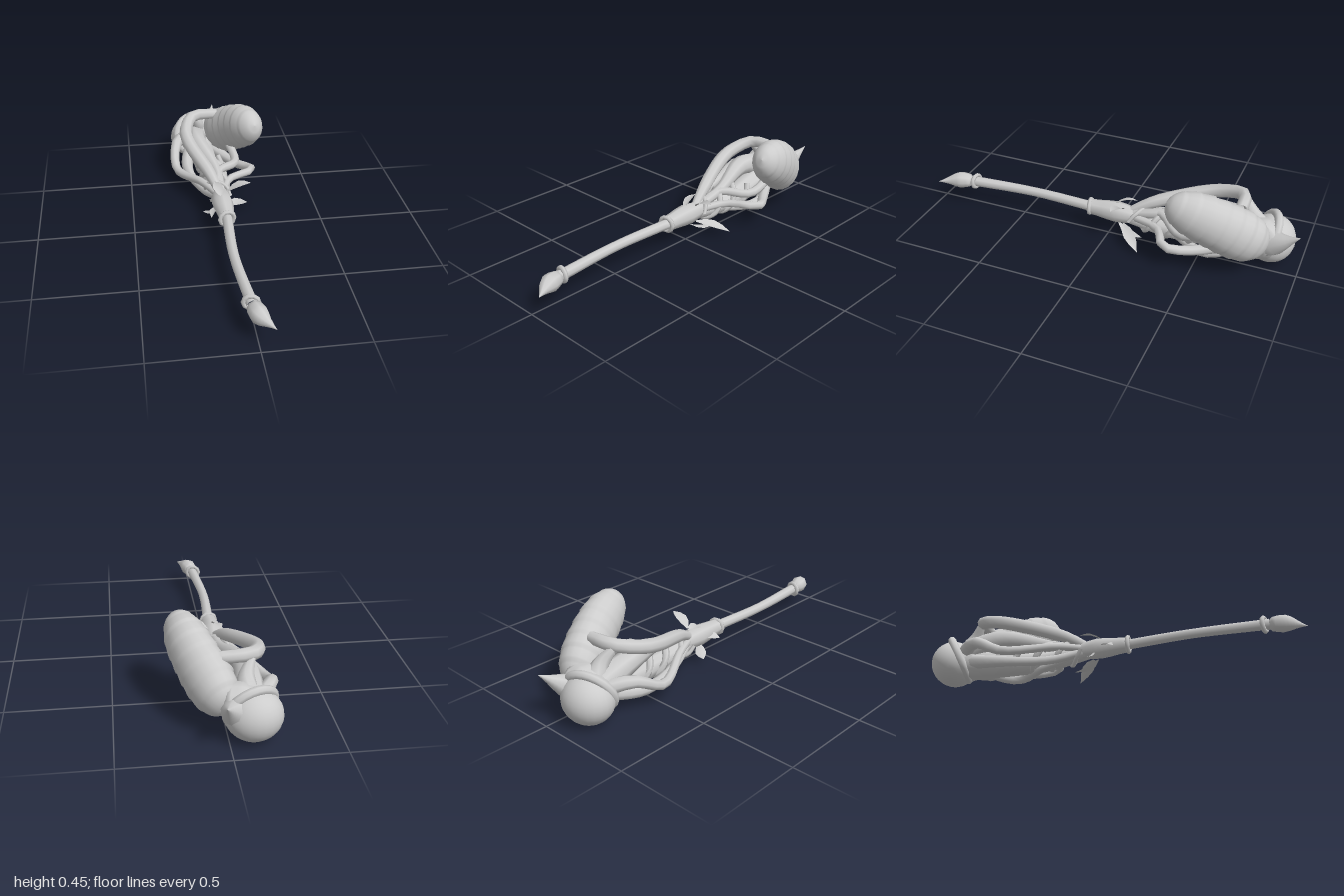
import * as THREE from 'three';

const stone = new THREE.MeshStandardMaterial({ color: 0xcccccc });
stone.name = 'plain grey';
const leafGrey = new THREE.MeshStandardMaterial({ color: 0xcccccc, side: THREE.DoubleSide });
leafGrey.name = 'leaf grey';

const vec = (p) => new THREE.Vector3(...p);
const UP = new THREE.Vector3(0, 1, 0);

// Radius at t, from evenly spaced values
function sample(list, t) {
  const f = t * (list.length - 1);
  const i = Math.min(Math.floor(f), list.length - 2);
  return THREE.MathUtils.lerp(list[i], list[i + 1], f - i);
}

function meshGeometry(points, index) {
  const g = new THREE.BufferGeometry().setFromPoints(points);
  g.setIndex(index);
  g.computeVertexNormals();
  return g;
}

// Sweeps a ring of the given radius along a curve; tall stretches it upward
function sweep(points, radius, { rings = 16, sides = 8, tall = 1 } = {}) {
  const curve = new THREE.CatmullRomCurve3(points.map(vec));
  const verts = [], index = [];
  for (let i = 0; i <= rings; i++) {
    const t = i / rings;
    const c = curve.getPointAt(t);
    const dir = curve.getTangentAt(t);
    const side = dir.clone().cross(UP).normalize();
    const up = side.clone().cross(dir);
    const r = Math.max(radius(t), 0.0005);
    for (let j = 0; j < sides; j++) {
      const a = (j / sides) * Math.PI * 2;
      verts.push(c.clone().addScaledVector(side, Math.cos(a) * r).addScaledVector(up, Math.sin(a) * r * tall));
      if (i < rings) {
        const p = i * sides + j, q = i * sides + (j + 1) % sides;
        index.push(p, p + sides, q, q, p + sides, q + sides);
      }
    }
  }
  return meshGeometry(verts, index);
}

// Pointed leaf, arched and folded along its middle
function leafGeometry(base, tip, width, normal) {
  const a = vec(base), b = vec(tip), n = vec(normal).normalize();
  const across = b.clone().sub(a).cross(n).normalize();
  const verts = [], index = [];
  for (let i = 0; i <= 4; i++) {
    const t = i / 4;
    const w = Math.sin(Math.PI * (0.06 + 0.94 * t));
    for (const s of [-1, 0, 1]) {
      verts.push(a.clone().lerp(b, t).addScaledVector(across, s * w * width)
        .addScaledVector(n, 0.012 * Math.sin(t * Math.PI) + Math.abs(s) * w * 0.008));
    }
    if (i < 4) for (const k of [0, 1]) {
      const q = i * 3 + k;
      index.push(q, q + 3, q + 1, q + 1, q + 3, q + 4);
    }
  }
  return meshGeometry(verts, index);
}

export function createModel() {
  const model = new THREE.Group();
  const add = (name, geometry, material = stone) => {
    const mesh = new THREE.Mesh(geometry, material);
    mesh.name = name;
    model.add(mesh);
    return mesh;
  };
  const tube = (name, points, radii, options) => add(name, sweep(points, (t) => sample(radii, t), options));

  // Bowed shaft, pommel and collars
  tube('shaft', [[-0.01, 0.125, 0.83], [-0.038, 0.125, 0.45], [-0.025, 0.125, 0.1]], [0.028, 0.025, 0.027]);
  tube('pommel', [[-0.012, 0.125, 0.81], [0.01, 0.125, 0.9], [0.067, 0.122, 1]],
    [0, 0.036, 0.043, 0.045, 0.036, 0.022, 0.01, 0], { rings: 14 });
  for (const [x, z, r, turn] of [[-0.014, 0.805, 0.034, -0.16], [-0.026, 0.115, 0.038, 0.16]]) {
    const collar = add('collar', new THREE.TorusGeometry(r, 0.012, 6, 10));
    collar.position.set(x, 0.125, z);
    collar.rotation.y = turn;
  }

  // Sleeve where the shaft meets the roots, then the thick trunk
  tube('sleeve', [[-0.025, 0.125, 0.115], [-0.03, 0.125, -0.05], [-0.03, 0.12, -0.25]],
    [0.04, 0.045, 0.052, 0.056, 0.05, 0.04, 0.03, 0], { rings: 14 });
  tube('trunk', [[-0.03, 0.115, -0.08], [-0.04, 0.09, -0.35], [-0.07, 0.105, -0.6], [-0.1, 0.13, -0.82]],
    [0.035, 0.048, 0.058, 0.075, 0.1], { sides: 10 });

  // Roots leave the sleeve, bow outward and join the head
  const sleeveEnd = [-0.025, 0.13, -0.08], headEnd = [-0.1, 0.14, -0.82];
  tube('upperRoot', [sleeveEnd, [-0.07, 0.2, -0.21], [-0.16, 0.27, -0.45], [-0.172, 0.3, -0.56], [-0.12, 0.335, -0.68], [0.02, 0.335, -0.7]],
    [0.02, 0.035, 0.037, 0.035, 0.03]);
  tube('rootFork', [[-0.12, 0.32, -0.69], [-0.09, 0.25, -0.74], headEnd], [0.02, 0.045, 0.07]);
  tube('outerRoot', [sleeveEnd, [-0.11, 0.135, -0.25], [-0.235, 0.1, -0.49], [-0.215, 0.18, -0.67], headEnd],
    [0.018, 0.022, 0.026, 0.045]);
  tube('sideRoot', [sleeveEnd, [0.04, 0.13, -0.28], [0.18, 0.13, -0.37], [0.1, 0.1, -0.52], headEnd],
    [0.02, 0.021, 0.028, 0.035]);
  tube('innerRoot', [sleeveEnd, [-0.03, 0.18, -0.3], [-0.11, 0.22, -0.58], headEnd], [0.02, 0.03, 0.055, 0.08]);
  tube('lowerRoot', [sleeveEnd, [-0.1, 0.07, -0.28], [-0.17, 0.075, -0.55], headEnd], [0.02, 0.026, 0.045]);
  tube('crossRoot', [sleeveEnd, [-0.02, 0.18, -0.28], [0.09, 0.16, -0.42], [0.07, 0.2, -0.62]], [0.015, 0.024, 0.025]);
  tube('bottomRoot', [sleeveEnd, [-0.07, 0.05, -0.32], [0.04, 0.05, -0.55], headEnd], [0.015, 0.024, 0.03]);

  // Thin tendrils wound round the roots
  for (const start of [0, Math.PI]) {
    const points = Array.from({ length: 13 }, (_, i) => {
      const a = start + i * 0.85, t = i / 12, r = 0.055 + 0.015 * t;
      return [-0.03 - 0.02 * t + Math.cos(a) * r, 0.115 + Math.sin(a) * r, -0.12 - 0.38 * t];
    });
    tube('tendril', points, [0.01, 0.018, 0.016], { rings: 48, sides: 6 });
  }

  // Ringed pod: overlapping soft bands, narrower at the free end
  const podRadius = (t) => (0.094 + 0.024 * t) * Math.sqrt(Math.max(0, 1 - Math.abs(2 * t - 1) ** 3.4))
    * (0.975 + 0.05 * ((t * 8) % 1));
  add('ringedPod', sweep([[0.195, 0.4, -0.375], [0.125, 0.3, -0.585], [0.005, 0.14, -0.83]], podRadius,
    { rings: 56, sides: 20, tall: 1.22 }));

  // Round head with its rim, neck and horn
  const head = add('head', new THREE.SphereGeometry(0.12, 24, 16));
  head.position.set(-0.11, 0.124, -0.84);
  head.scale.x = 1.1;
  const rim = add('rim', new THREE.TorusGeometry(0.115, 0.022, 8, 24));
  rim.position.set(-0.1, 0.148, -0.815);
  rim.lookAt(-0.4, -0.25, -1.6);
  tube('neck', [[-0.16, 0.14, -0.82], [-0.06, 0.155, -0.805], [0.05, 0.16, -0.78]], [0, 0.09, 0.105, 0.1, 0], { sides: 14 });
  tube('horn', [[-0.05, 0.13, -0.82], [0, 0.19, -0.91], [0.03, 0.255, -1]], [0.08, 0.07, 0.045, 0.02, 0], { rings: 12 });

  // Leaves round the sleeve
  const addLeaf = (...shape) => add('leaf', leafGeometry(...shape), leafGrey);
  addLeaf([0, 0.08, -0.08], [0.13, 0.015, -0.21], 0.03, [0.4, 1, 0]);
  addLeaf([0, 0.17, -0.08], [0.125, 0.225, -0.06], 0.032, [-0.4, 1, 0]);
  addLeaf([-0.05, 0.12, -0.02], [-0.1, 0.1, 0.06], 0.025, [-0.6, 1, 0]);
  addLeaf([-0.06, 0.1, -0.06], [-0.13, 0.045, -0.1], 0.028, [0.6, -1, 0.5]);
  addLeaf([-0.03, 0.17, -0.02], [-0.06, 0.2, -0.14], 0.026, [-0.3, 1, 0]);
  addLeaf([-0.02, 0.07, -0.05], [0.03, 0.04, -0.2], 0.028, [0, -1, 0.3]);

  return model;
}
